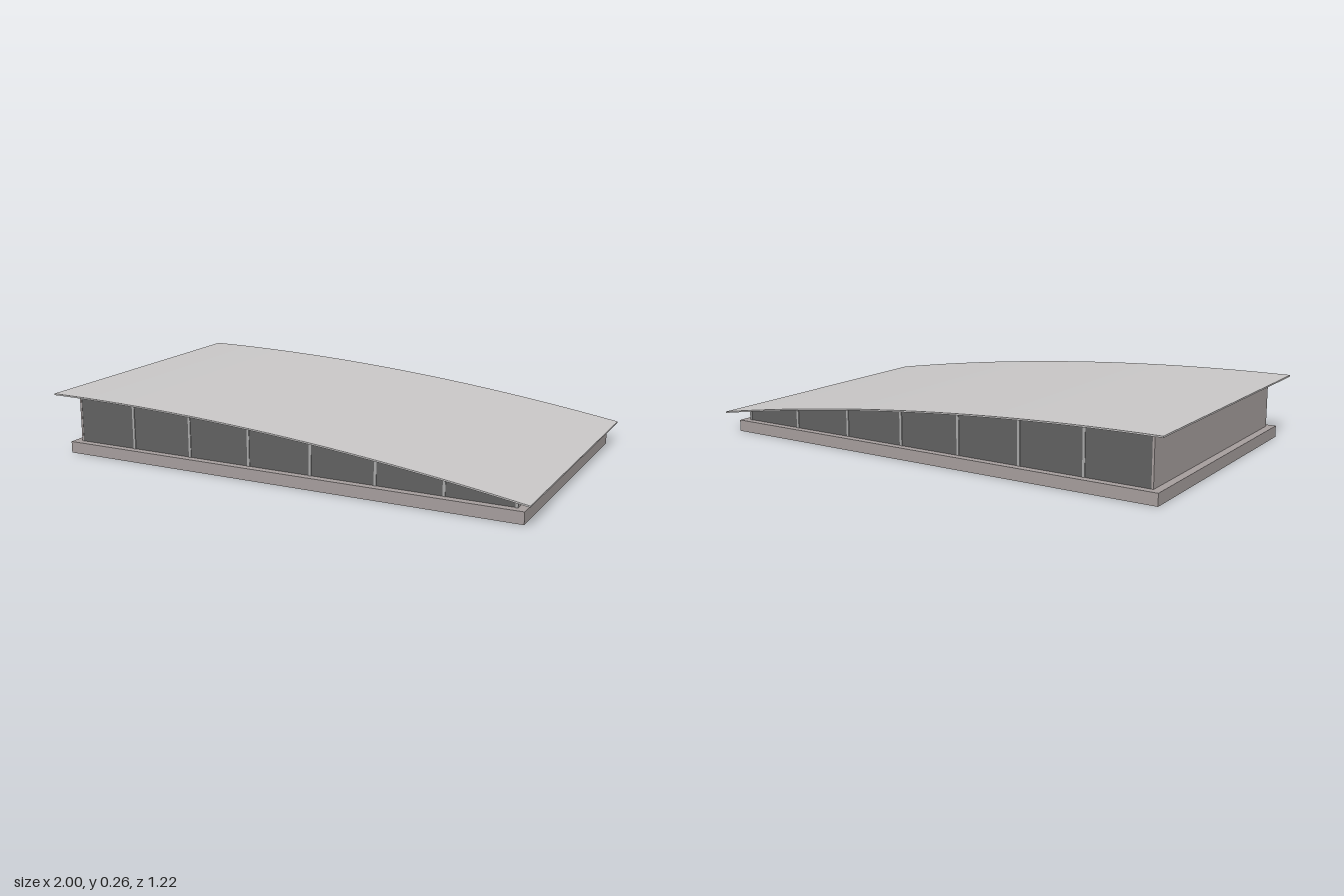
import * as THREE from 'three';

const mat = (name, color, side = THREE.FrontSide) => {
  const m = new THREE.MeshStandardMaterial({ color, side });
  m.name = name;
  return m;
};

// Underside height of the curved roof along x
const roofY = (x) => 0.25 - 0.168 * ((x + 1) / 2) ** 2;

// Outline between a lower and an upper curve, extruded along z and centred on z
function band(x0, x1, low, high, depth, z = 0, steps = 20) {
  const pts = [];
  for (let i = 0; i <= steps; i++) {
    const x = x0 + (x1 - x0) * i / steps;
    pts.push(new THREE.Vector2(x, low(x)));
  }
  for (let i = steps; i >= 0; i--) {
    const x = x0 + (x1 - x0) * i / steps;
    pts.push(new THREE.Vector2(x, high(x)));
  }
  const g = new THREE.ExtrudeGeometry(new THREE.Shape(pts), { depth, bevelEnabled: false });
  g.translate(0, 0, z - depth / 2);
  return g;
}

export function createModel() {
  const group = new THREE.Group();
  const roofMat = mat('roof light grey', 0xc9c7c7);
  const stone = mat('warm grey', 0xa69e9d, THREE.DoubleSide);
  const glass = mat('dark glass', 0x616161);
  const metal = mat('mullion grey', 0xa8a8a8);
  const add = (name, geometry, material) => {
    const mesh = new THREE.Mesh(geometry, material);
    mesh.name = name;
    group.add(mesh);
    return mesh;
  };

  const BX = 0.967, BZ = 0.563, BH = 0.047;   // plinth half sizes and height
  const WX = 0.935, WZ = 0.533;               // wall half sizes
  const base = () => BH;

  // Plinth: slab on four thin skirts, open underneath
  add('plinthSlab', new THREE.BoxGeometry(2 * BX, 0.004, 2 * BZ).translate(0, BH - 0.002, 0), stone);
  for (const s of [-1, 1]) {
    add('plinthLongSkirt', new THREE.BoxGeometry(2 * BX, BH, 0.004).translate(0, BH / 2, s * (BZ - 0.002)), stone);
    add('plinthEndSkirt', new THREE.BoxGeometry(0.004, BH, 2 * BZ).translate(s * (BX - 0.002), BH / 2, 0), stone);
  }

  // Solid end walls
  add('highEndWall', band(-WX, -WX + 0.008, base, roofY, 2 * WZ, 0, 1), stone);
  add('lowEndWall', band(WX - 0.008, WX, base, roofY, 2 * WZ, 0, 1), stone);

  // Glazed long sides with evenly spaced mullions
  for (const s of [-1, 1]) {
    add('sideGlazing', band(-WX + 0.001, WX - 0.001, base, roofY, 0.008, s * (WZ - 0.005)), glass);
    for (let i = 1; i <= 7; i++) {
      const x = -0.935 + i * 0.2665;
      const x1 = Math.min(x + 0.005, WX);
      add('mullion', band(x1 - 0.01, x1, base, roofY, 0.012, s * (WZ - 0.004), 1), metal);
    }
  }

  // Thin overhanging curved roof
  add('roof', band(-1, 1, roofY, (x) => roofY(x) + 0.006, 1.22, 0, 24), roofMat);
  return group;
}
